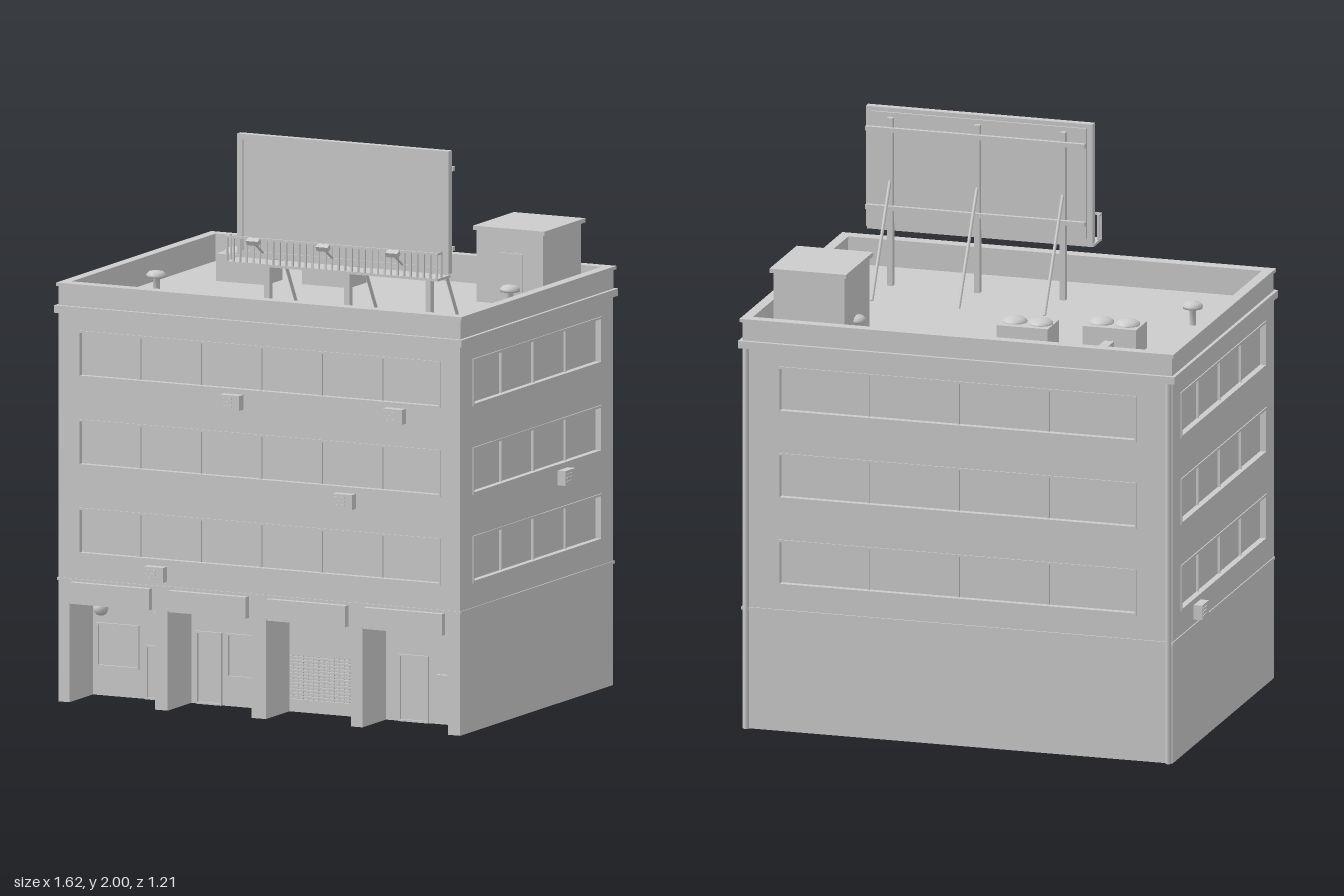
import * as THREE from 'three';

const concrete = new THREE.MeshStandardMaterial({ color: 0xcccccc });
concrete.name = 'concrete grey';

export function createModel() {
  const root = new THREE.Group();
  root.name = 'officeBuilding';

  const add = (name, geo, parent = root) => {
    const m = new THREE.Mesh(geo, concrete);
    m.name = name;
    parent.add(m);
    return m;
  };
  // Box given by its minimum and maximum on each axis
  const box = (name, x0, x1, y0, y1, z0, z1, parent) => {
    const m = add(name, new THREE.BoxGeometry(x1 - x0, y1 - y0, z1 - z0), parent);
    m.position.set((x0 + x1) / 2, (y0 + y1) / 2, (z0 + z1) / 2);
    return m;
  };
  // Round bar between two points
  const bar = (name, a, b, r, parent) => {
    const A = new THREE.Vector3(...a), B = new THREE.Vector3(...b);
    const m = add(name, new THREE.CylinderGeometry(r, r, A.distanceTo(B), 8), parent);
    m.position.copy(A).add(B).multiplyScalar(0.5);
    m.quaternion.setFromUnitVectors(new THREE.Vector3(0, 1, 0), B.sub(A).normalize());
    return m;
  };
  const rect = (P, x0, x1, y0, y1) => {
    const p = new P();
    p.moveTo(x0, y0); p.lineTo(x1, y0); p.lineTo(x1, y1); p.lineTo(x0, y1); p.closePath();
    return p;
  };

  // Main volume
  const X = 0.778, ZB = -0.59, ZF = 0.575, ROOF = 1.37;
  box('upperCore', -X + 0.02, X - 0.02, 0.43, ROOF, ZB + 0.02, ZF - 0.02);
  box('groundFloor', -X, X, 0, 0.43, ZB, 0.395);
  box('shopLintel', -X, X, 0.35, 0.43, 0.395, ZF);

  // Upper walls with three window bands each
  const rows = [[0.52, 0.685], [0.83, 0.995], [1.14, 1.305]];
  function wall(name, half, w0, w1, panes, x, z, turn) {
    const g = new THREE.Group();
    g.name = name;
    g.position.set(x, 0, z);
    g.rotation.y = turn;
    root.add(g);
    const shape = rect(THREE.Shape, -half, half, 0.43, ROOF);
    for (const [a, b] of rows) shape.holes.push(rect(THREE.Path, w0, w1, a, b));
    add('wallPanel', new THREE.ExtrudeGeometry(shape, { depth: 0.02, bevelEnabled: false }), g).position.z = -0.02;
    for (const [a, b] of rows) {
      const frame = rect(THREE.Shape, w0, w1, a, b);
      frame.holes.push(rect(THREE.Path, w0 + 0.008, w1 - 0.008, a + 0.008, b - 0.008));
      add('windowFrame', new THREE.ExtrudeGeometry(frame, { depth: 0.022, bevelEnabled: false }), g).position.z = -0.018;
      for (let i = 1; i < panes; i++) {
        const u = w0 + (w1 - w0) * i / panes;
        box('mullion', u - 0.003, u + 0.003, a, b, -0.02, -0.011, g);
      }
    }
  }
  const mid = (ZF + ZB) / 2, hz = (ZF - ZB) / 2;
  wall('frontWall', X, -0.703, 0.703, 6, 0, ZF, 0);
  wall('backWall', X, -0.65, 0.65, 4, 0, ZB, Math.PI);
  wall('leftWall', hz, -0.49, 0.49, 4, X, mid, Math.PI / 2);
  wall('rightWall', hz, -0.49, 0.49, 4, -X, mid, -Math.PI / 2);

  // Horizontal bands and parapet, each a rectangular ring
  function ring(name, x, zb, zf, y0, y1, ix, izb, izf) {
    const s = rect(THREE.Shape, -x, x, -zf, -zb);
    s.holes.push(rect(THREE.Path, -ix, ix, -izf, -izb));
    const m = add(name, new THREE.ExtrudeGeometry(s, { depth: y1 - y0, bevelEnabled: false }));
    m.rotation.x = -Math.PI / 2;
    m.position.y = y0;
  }
  ring('floorBand', 0.782, -0.595, 0.579, 0.425, 0.435, 0.76, -0.57, 0.55);
  ring('cornice', 0.79, -0.605, 0.587, 1.362, 1.388, 0.755, -0.57, 0.54);
  ring('parapet', 0.778, -0.592, 0.573, 1.37, 1.456, 0.75, -0.565, 0.535);
  ring('parapetCap', 0.785, -0.602, 0.58, 1.455, 1.467, 0.748, -0.563, 0.533);
  for (const s of [-1, 1]) bar('drainPipe', [s * 0.764, 0, -0.592], [s * 0.764, 1.37, -0.592], 0.011);

  // Shop bays: piers, sign boxes and fronts
  const bays = [[-0.735, -0.405], [-0.355, -0.03], [0.025, 0.355], [0.4, 0.73]];
  const edges = [-X, ...bays.flat(), X];
  for (let i = 0; i < edges.length; i += 2) box('shopPier', edges[i], edges[i + 1], 0, 0.36, 0.39, ZF);
  for (const [a, b] of bays) box('signBox', a + 0.015, b - 0.01, 0.35, 0.425, 0.57, 0.6);
  const W = 0.395;
  const frame = (name, x0, x1, y0, y1) => {
    const s = rect(THREE.Shape, x0, x1, y0, y1);
    s.holes.push(rect(THREE.Path, x0 + 0.007, x1 - 0.007, y0 + 0.007, y1 - 0.007));
    add(name, new THREE.ExtrudeGeometry(s, { depth: 0.008, bevelEnabled: false })).position.z = W;
  };
  box('shopBoard', -0.72, -0.42, 0.275, 0.338, W, W + 0.012);
  box('shopBoard', -0.337, -0.045, 0.275, 0.325, W, W + 0.012);
  frame('shopWindow', -0.72, -0.555, 0.1, 0.255);
  frame('shopWindow', -0.215, -0.045, 0.1, 0.255);
  frame('shopDoor', -0.53, -0.43, 0, 0.19);
  frame('shopDoor', -0.335, -0.235, 0, 0.255);
  frame('shopDoor', 0.45, 0.565, 0, 0.235);
  box('noticeBoard', 0.6, 0.7, 0.11, 0.175, W, W + 0.015);
  for (const x of [-0.69, -0.455]) {
    add('wallLamp', new THREE.SphereGeometry(0.026, 14, 10)).position.set(x, 0.31, W + 0.03);
    bar('lampStem', [x, 0.31, W], [x, 0.31, W + 0.03], 0.008);
  }
  for (let i = 0; i < 14; i++) box('shutterSlat', 0.03, 0.35, 0.04 + i * 0.0115, 0.046 + i * 0.0115, W, W + 0.008);
  for (let i = 0; i < 16; i++) box('shutterRod', 0.038 + i * 0.02, 0.041 + i * 0.02, 0.04, 0.2, W, W + 0.005);

  // Wall air conditioners, built facing +z
  function wallUnit(x, y, z, turn) {
    const g = new THREE.Group();
    g.name = 'wallAirConditioner';
    g.position.set(x, y, z);
    g.rotation.y = turn;
    root.add(g);
    box('unitCase', -0.038, 0.038, -0.026, 0.026, -0.01, 0.031, g);
    for (let i = 0; i < 3; i++) box('unitLouvre', -0.03, 0.01, -0.015 + i * 0.013, -0.01 + i * 0.013, 0.03, 0.034, g);
  }
  for (const [x, y] of [[-0.1, 1.103], [0.53, 1.103], [0.337, 0.79], [-0.395, 0.478]]) wallUnit(x, y, ZF, 0);
  wallUnit(X, 0.79, -0.205, Math.PI / 2);
  wallUnit(-X, 0.478, -0.307, -Math.PI / 2);

  // Roof shed
  box('shedWalls', 0.43, 0.687, ROOF, 1.625, -0.525, -0.235);
  box('shedRoof', 0.42, 0.697, 1.622, 1.637, -0.537, -0.225);
  box('shedDoor', 0.52, 0.61, ROOF, 1.55, -0.236, -0.228);

  // Roof cooling units with domed fans
  const dome = new THREE.LatheGeometry([[0.043, 0], [0.043, 0.006], [0.033, 0.014], [0.018, 0.018], [0, 0.02]]
    .map(p => new THREE.Vector2(...p)), 24);
  for (const [x0, x1, z0, z1] of [[-0.565, -0.37, -0.33, -0.205], [-0.27, -0.085, -0.41, -0.28]]) {
    box('coolingUnit', x0, x1, ROOF, 1.466, z0, z1);
    for (const s of [-1, 1]) add('fanCover', dome).position.set((x0 + x1) / 2 + s * 0.047, 1.466, (z0 + z1) / 2);
  }
  box('roofDuct', -0.485, -0.45, 1.385, 1.42, -0.53, -0.32);

  // Mushroom vents
  const vent = new THREE.LatheGeometry([[0.012, 0], [0.012, 0.06], [0.034, 0.06], [0.035, 0.07], [0.025, 0.08], [0, 0.085]]
    .map(p => new THREE.Vector2(...p)), 18);
  for (const [x, z] of [[-0.625, 0.13], [0.597, 0.16 - 0.32], [0.432, -0.385]])
    add('roofVent', vent).position.set(x, ROOF, z);

  // Billboard
  const bb = new THREE.Group();
  bb.name = 'billboard';
  root.add(bb);
  box('boardPanel', -0.18, 0.6, 1.59, 1.985, 0.318, 0.347, bb);
  const rim = rect(THREE.Shape, -0.2, 0.62, 1.57, 2);
  rim.holes.push(rect(THREE.Path, -0.178, 0.598, 1.592, 1.98));
  add('boardRim', new THREE.ExtrudeGeometry(rim, { depth: 0.028, bevelEnabled: false }), bb).position.z = 0.325;
  for (const y of [1.65, 1.93]) box('backBeam', -0.185, 0.61, y - 0.008, y + 0.008, 0.285, 0.3, bb);
  for (const x of [-0.1, 0.21, 0.525]) {
    box('boardPost', x - 0.01, x + 0.01, ROOF, 1.97, 0.298, 0.322, bb);
    bar('boardBrace', [x, 1.75, 0.305], [x, ROOF, 0.092], 0.006, bb);
  }

  // Catwalk and railing
  const cw = new THREE.Group();
  cw.name = 'catwalk';
  root.add(cw);
  box('catwalkFloor', -0.2, 0.62, 1.557, 1.566, 0.34, 0.437, cw);
  box('topRail', -0.2, 0.62, 1.648, 1.656, 0.43, 0.437, cw);
  for (let i = 0; i <= 32; i++) {
    const x = -0.196 + i * 0.812 / 32;
    box('baluster', x - 0.003, x + 0.003, 1.56, 1.65, 0.431, 0.437, cw);
  }
  for (const x of [-0.197, 0.617]) {
    box('endRail', x - 0.003, x + 0.003, 1.648, 1.656, 0.4, 0.437, cw);
    box('endPost', x - 0.003, x + 0.003, 1.56, 1.656, 0.4, 0.406, cw);
  }

  // Floodlights on arms
  for (const x of [-0.06, 0.21, 0.48]) {
    bar('floodlightArm', [x, 1.605, 0.43], [x, 1.655, 0.505], 0.004, cw);
    const head = box('floodlightHead', x - 0.023, x + 0.023, 1.645, 1.663, 0.492, 0.512, cw);
    head.rotation.x = 0.5;
  }
  return root;
}
